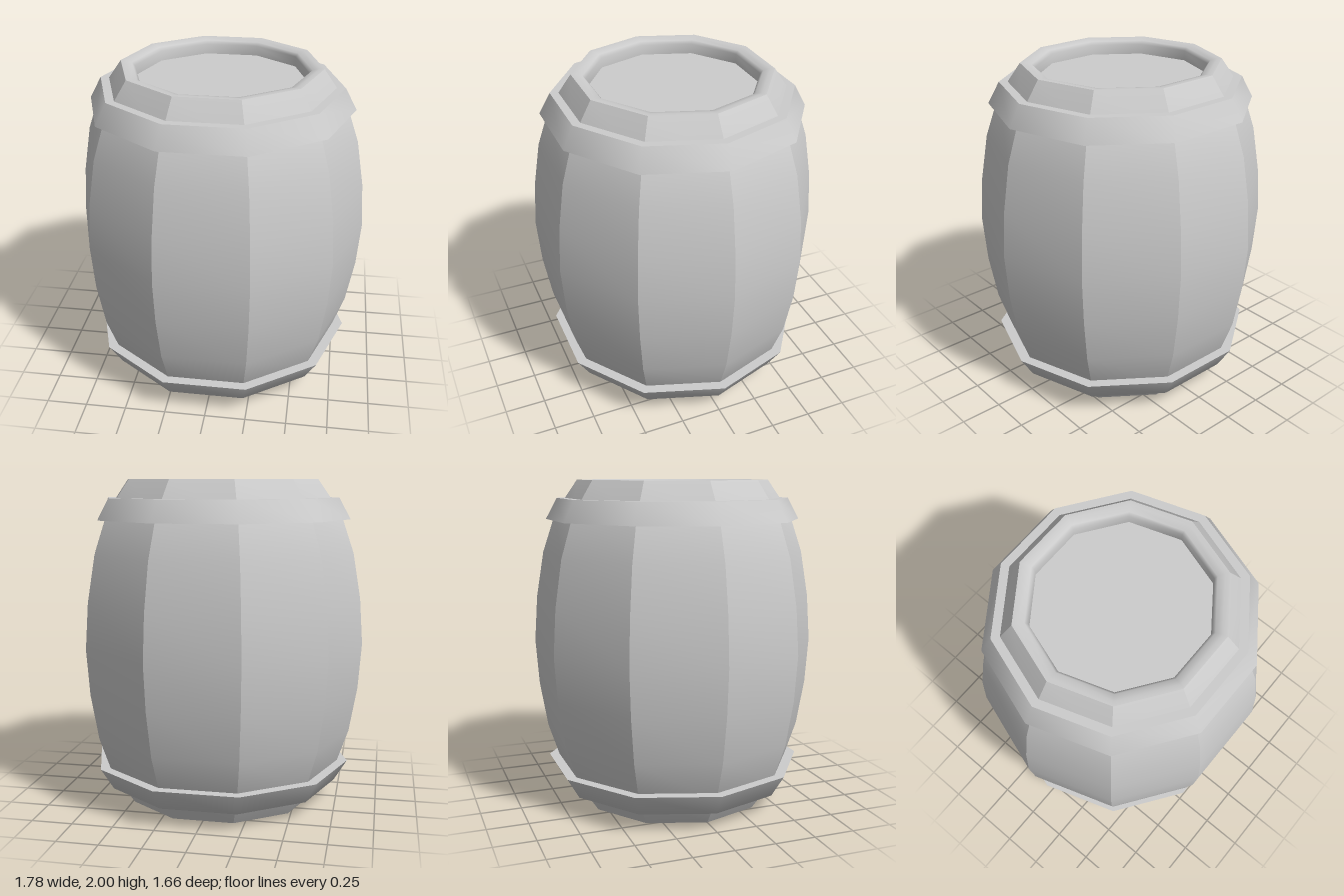
import * as THREE from 'three';
import { toCreasedNormals } from 'three/addons/utils/BufferGeometryUtils.js';

const SIDES = 10;
const DEPTH = 0.98; // slightly shallower front to back

export function createModel() {
  const group = new THREE.Group();
  const material = new THREE.MeshStandardMaterial({ color: 0xcccccc });

  const add = (name, geometry) => {
    geometry.scale(1, 1, DEPTH);
    const mesh = new THREE.Mesh(geometry, material);
    mesh.name = name;
    group.add(mesh);
  };

  // ten-sided ring swept from a list of [radius, y], corner lines on the x axis
  const ring = (profile) => new THREE.LatheGeometry(
    profile.map(([r, y]) => new THREE.Vector2(r, y)), SIDES, Math.PI / 2);

  // the same profile turned over to the bottom of the barrel
  const flip = (profile) => profile.map(([r, y]) => [r, 2 - y]).reverse();

  // bulging stave body: faceted around, smooth up and down
  const upper = [[0.888, 1], [0.868, 1.28], [0.82, 1.56], [0.738, 1.8], [0.598, 2]];
  const body = [...flip(upper).slice(0, -1), ...upper];
  add('staves', toCreasedNormals(ring(body), THREE.MathUtils.degToRad(25)));

  // rounded rims leading down to the recessed heads
  const rim = [[0.598, 2], [0.57, 2], [0.53, 1.99], [0.513, 1.97], [0.513, 1.91]];
  add('topRim', ring(rim));
  add('bottomRim', ring(flip(rim)));

  for (const [name, y, turn] of [['topHead', 1.91, -1], ['bottomHead', 0.09, 1]]) {
    const head = new THREE.CircleGeometry(0.513, SIDES);
    head.rotateX(turn * Math.PI / 2);
    head.translate(0, y, 0);
    add(name, head);
  }

  // flared hoops, the lower one a little wider
  const smooth = THREE.MathUtils.degToRad(60);
  const topHoop = [[0.7, 1.762], [0.797, 1.762], [0.727, 1.89], [0.64, 1.89]];
  const bottomHoop = [[0.64, 0.11], [0.735, 0.11], [0.816, 0.243], [0.7, 0.243]];
  add('topHoop', toCreasedNormals(ring(topHoop), smooth));
  add('bottomHoop', toCreasedNormals(ring(bottomHoop), smooth));

  return group;
}
